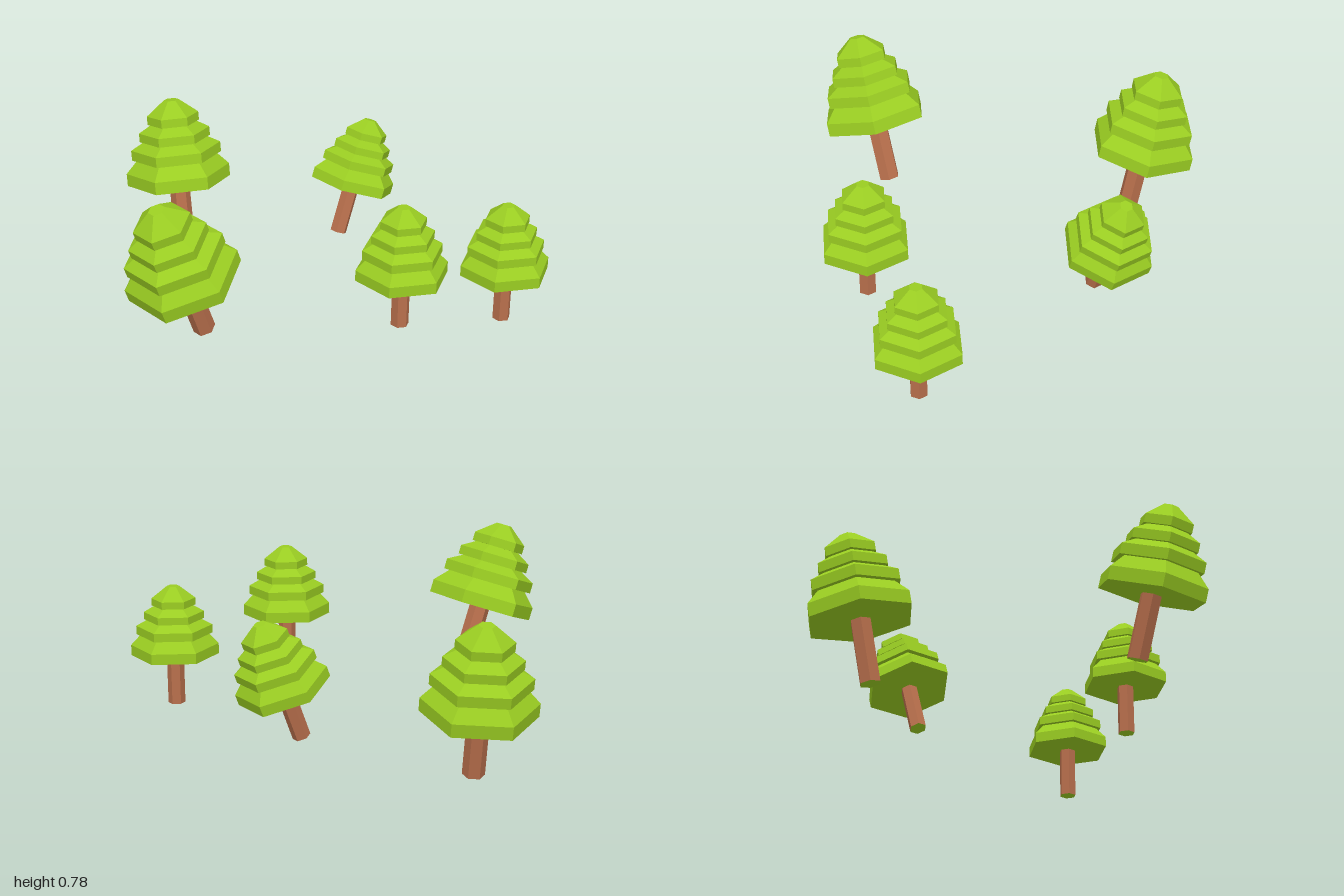
import * as THREE from 'three';

const SIDES = 6;
const TRUNK_HEIGHT = 0.225;
const CROWN_HEIGHT = 0.315;

// Tiers of the crown: rim radius, underside height, rim height, radius where the slope ends
const TIERS = [
  [0.195, 0, 0.047, 0.148],
  [0.169, 0.097, 0.038, 0.115],
  [0.133, 0.165, 0.033, 0.082],
  [0.097, 0.228, 0.032, 0.028],
];

// Position of the trunk foot, scale, and lean / turn in degrees
const TREES = [
  { name: 'frontLeftTree', at: [0.644, 0.02, 0.8], scale: 1, lean: [0, 0], turn: 0 },
  { name: 'frontTree', at: [0.115, 0.15, 0.703], scale: 1, lean: [0, 0], turn: 0 },
  { name: 'leftLeaningTree', at: [0.562, 0.102, -0.136], scale: 1, lean: [0, -20.3], turn: 0 },
  { name: 'rightLeaningTree', at: [-0.516, 0.151, 0.197], scale: 1.23, lean: [0, 20.3], turn: 0 },
  { name: 'backTree', at: [0.102, 0.009, -0.7], scale: 1.23, lean: [-10.5, -3], turn: -4 },
];

// Six-sided faceted solid turned from a profile that runs from bottom to top
function faceted(profile) {
  const points = profile.map(([r, y]) => new THREE.Vector2(r, y));
  const geometry = new THREE.LatheGeometry(points, SIDES).toNonIndexed();
  geometry.computeVertexNormals();
  return geometry;
}

function part(name, geometry, material) {
  const mesh = new THREE.Mesh(geometry, material);
  mesh.name = name;
  return mesh;
}

export function createModel() {
  const leafGreen = new THREE.MeshStandardMaterial({ color: 0x9acd22 });
  leafGreen.name = 'leaf green';
  const barkBrown = new THREE.MeshStandardMaterial({ color: 0xb86f4c });
  barkBrown.name = 'bark brown';

  // Stepped crown: each tier has an upright rim, a slope, and the underside of the next tier
  const crownProfile = [[0, 0]];
  TIERS.forEach(([radius, y, rim, slopeEnd], i) => {
    const nextY = i + 1 < TIERS.length ? TIERS[i + 1][1] : CROWN_HEIGHT;
    crownProfile.push([radius, y], [radius, y + rim], [slopeEnd, nextY]);
  });
  crownProfile.push([0, CROWN_HEIGHT]);
  const crownGeometry = faceted(crownProfile);

  // Straight trunk with a green cut face at its foot
  const trunkGeometry = faceted([[0.038, 0], [0.038, TRUNK_HEIGHT]]);
  const footGeometry = faceted([[0, 0], [0.038, 0]]);

  const model = new THREE.Group();
  model.name = 'treeGroup';
  const rad = THREE.MathUtils.degToRad;
  for (const { name, at, scale, lean, turn } of TREES) {
    const tree = new THREE.Group();
    tree.name = name;
    const crown = part('crown', crownGeometry, leafGreen);
    crown.position.y = TRUNK_HEIGHT;
    tree.add(
      crown,
      part('trunk', trunkGeometry, barkBrown),
      part('trunkFoot', footGeometry, leafGreen),
    );
    tree.position.set(...at);
    tree.scale.setScalar(scale);
    tree.rotation.set(rad(lean[0]), rad(turn), rad(lean[1]), 'XZY');
    model.add(tree);
  }
  return model;
}
